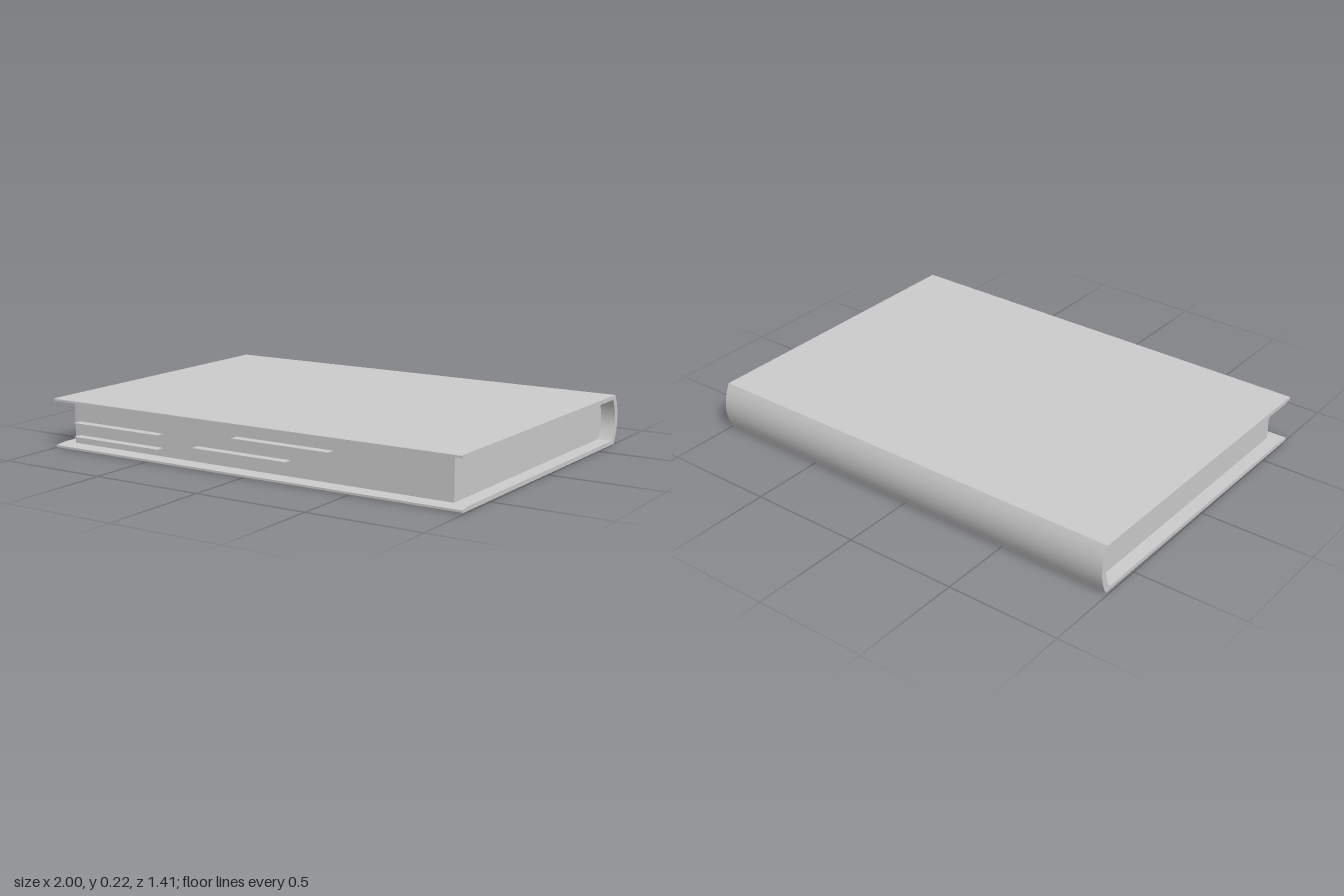
import * as THREE from 'three';
import { toCreasedNormals } from 'three/addons/utils/BufferGeometryUtils.js';

const HEIGHT = 0.218;
const MID = HEIGHT / 2;
const SKEW = -0.006; // the book is very slightly out of square

const grey = new THREE.MeshStandardMaterial({ color: 0xcccccc });

// Points along a shallow spine curve, bottom to top; a runs towards the back.
function spineCurve(aEdge, aMid, yLow, steps = 14) {
  const points = [];
  for (let i = 0; i <= steps; i++) {
    const t = (i / steps) * 2 - 1;
    points.push(new THREE.Vector2(aEdge + (aMid - aEdge) * (1 - t * t), MID + t * (MID - yLow)));
  }
  return points;
}

// Extrude a side profile (a = -z, y) across the book from x0 to x1.
function extrudeAcross(name, points, x0, x1) {
  let geo = new THREE.ExtrudeGeometry(new THREE.Shape(points), { depth: x1 - x0, bevelEnabled: false });
  geo.translate(0, 0, x0);
  geo.rotateY(Math.PI / 2);
  const pos = geo.attributes.position;
  for (let i = 0; i < pos.count; i++) pos.setX(i, pos.getX(i) + SKEW * pos.getZ(i));
  geo = toCreasedNormals(geo, 0.45);
  const mesh = new THREE.Mesh(geo, grey);
  mesh.name = name;
  return mesh;
}

export function createModel() {
  const book = new THREE.Group();
  book.name = 'book';
  const v = (a, y) => new THREE.Vector2(a, y);

  // Cover: both boards and the rounded spine in one C-shaped profile
  const cover = [
    v(-0.705, 0.003), v(-0.702, 0),
    ...spineCurve(0.674, 0.704, 0),
    v(-0.702, HEIGHT), v(-0.705, HEIGHT - 0.003), v(-0.705, HEIGHT - 0.012),
    v(-0.645, HEIGHT - 0.018),
    ...spineCurve(0.65, 0.678, 0.018).reverse(),
    v(-0.645, 0.018), v(-0.705, 0.012),
  ];
  book.add(extrudeAcross('cover', cover, -0.994, 0.994));

  // Page block, rounded at the back to sit against the spine
  const pages = [
    v(-0.645, 0.0175),
    ...spineCurve(0.65, 0.677, 0.0175),
    v(-0.645, HEIGHT - 0.0175),
  ];
  book.add(extrudeAcross('pageBlock', pages, -0.934, 0.929));

  // Loose sheets poking out of the fore edge: [x0, x1, y]
  const sheets = [
    [-0.91, -0.455, 0.053],
    [-0.27, 0.19, 0.083],
    [-0.91, -0.455, 0.114],
    [-0.07, 0.39, 0.147],
  ];
  for (const [x0, x1, y] of sheets) {
    const sheet = new THREE.Mesh(new THREE.BoxGeometry(x1 - x0, 0.004, 0.05), grey);
    sheet.position.set((x0 + x1) / 2, y, 0.66);
    sheet.name = 'looseSheet';
    book.add(sheet);
  }
  return book;
}
